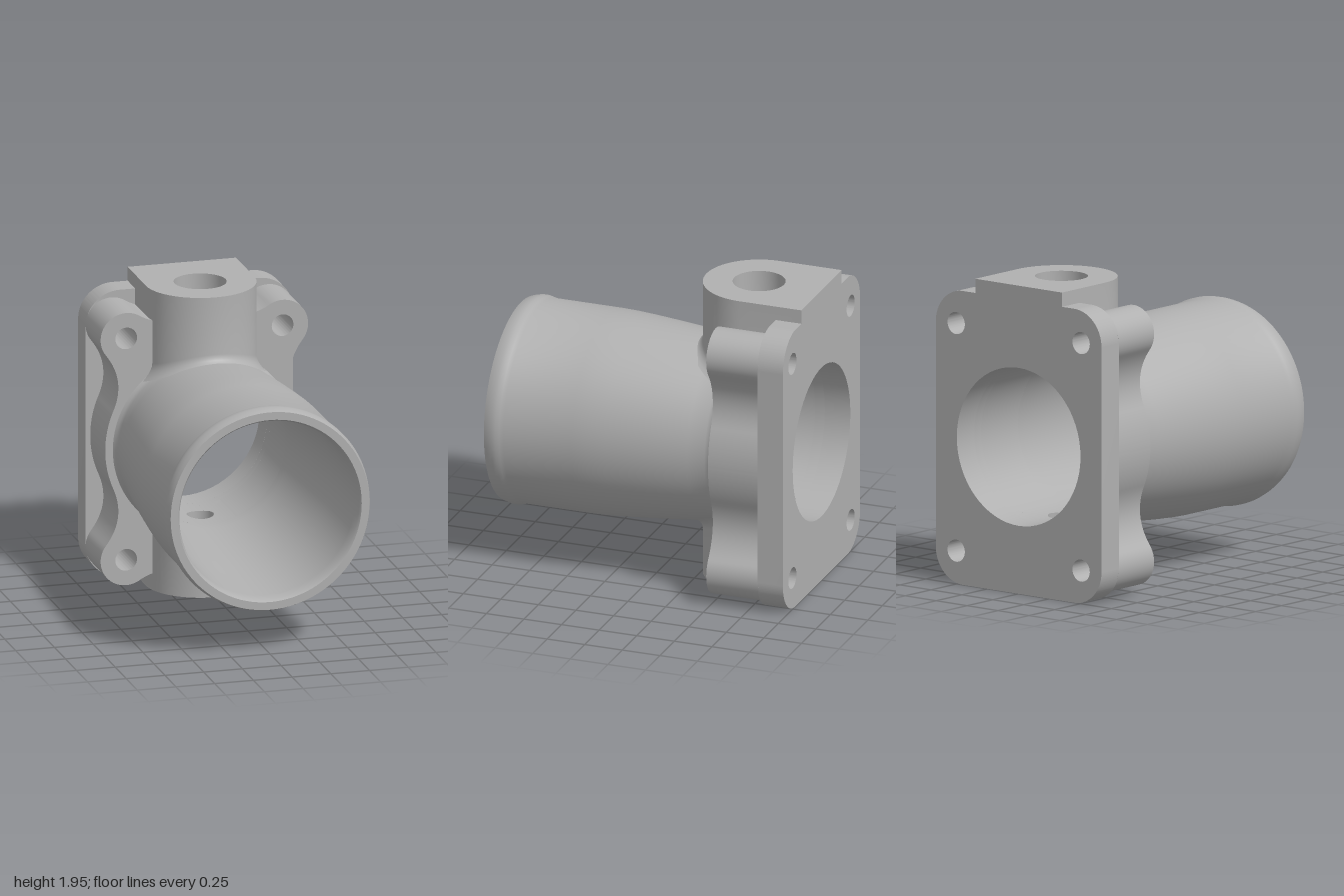
import * as THREE from 'three';
import { toCreasedNormals } from 'three/addons/utils/BufferGeometryUtils.js';

const metal = new THREE.MeshStandardMaterial({ color: 0xb0b0b0, side: THREE.DoubleSide });
metal.name = 'castGrey';

const AXIS_Y = 0.93;      // height of the main bore
const BORE = 0.5;         // bore radius at the flange
const PORT_Z = -0.585;    // centre of the vertical port
const PORT_R = 0.085;
const PATCH = 0.18;       // half size of the bore patch around each port

const mesh = (name, geo, crease = 0.6) => {
  const m = new THREE.Mesh(toCreasedNormals(geo, crease), metal);
  m.name = name;
  return m;
};
const v2 = (x, y) => new THREE.Vector2(x, y);

// Lathe about the z axis from [radius, z] pairs
const latheZ = (pts, start = 0, length = Math.PI * 2, seg = 96) =>
  new THREE.LatheGeometry(pts.map(p => v2(...p)), seg, start, length).rotateX(Math.PI / 2);

// Surface from rows of points
function loft(rows) {
  const n = rows[0].length, index = [];
  for (let i = 0; i < rows.length - 1; i++) {
    for (let j = 0; j < n - 1; j++) {
      const a = i * n + j;
      index.push(a, a + 1, a + n, a + 1, a + n + 1, a + n);
    }
  }
  const geo = new THREE.BufferGeometry();
  geo.setAttribute('position', new THREE.Float32BufferAttribute(rows.flat(2), 3));
  geo.setIndex(index);
  return geo;
}

const circle = (x, y, r) => new THREE.Path().absarc(x, y, r, 0, Math.PI * 2, true);

function extrude(shape, z0, z1) {
  const geo = new THREE.ExtrudeGeometry(shape, { depth: z1 - z0, bevelEnabled: false, curveSegments: 32 });
  return geo.translate(0, 0, z0);
}

// Rectangular back flange with rounded corners, bore and bolt holes
function flangePlate() {
  const w = 0.67, h = 0.93, r = 0.22, s = new THREE.Shape();
  s.absarc(w - r, h - r, r, 0, Math.PI / 2);
  s.absarc(r - w, h - r, r, Math.PI / 2, Math.PI);
  s.absarc(r - w, r - h, r, Math.PI, Math.PI * 1.5);
  s.absarc(w - r, r - h, r, Math.PI * 1.5, Math.PI * 2);
  s.holes.push(circle(0, 0, BORE));
  for (const x of [-0.505, 0.505]) for (const y of [-0.72, 0.72]) s.holes.push(circle(x, y, 0.07));
  return mesh('flangePlate', extrude(s, -1, -0.83));
}

// One side of the collar with its two bolt ears
function earCollar(side) {
  const p = new THREE.Path();
  p.absarc(0, 0, 0.64, 0, 0.403);
  p.quadraticCurveTo(0.505, 0.445, 0.632, 0.614);
  p.absarc(0.505, 0.72, 0.165, -0.644, 2.18);
  p.quadraticCurveTo(0.36, 0.825, 0.3, 0.815);
  const upper = p.getPoints(16);
  const lower = upper.slice(1).reverse().map(q => v2(q.x, -q.y));
  const inner = [];
  const a = Math.acos(0.3 / 0.53);
  for (let i = 0; i <= 32; i++) {
    const t = a - 2 * a * i / 32;
    inner.push(v2(0.53 * Math.cos(t), 0.53 * Math.sin(t)));
  }
  const s = new THREE.Shape([...lower, ...upper, ...inner].map(q => v2(q.x * side, q.y)));
  for (const y of [-0.72, 0.72]) s.holes.push(circle(0.505 * side, y, 0.07));
  return mesh(side > 0 ? 'leftEarCollar' : 'rightEarCollar', extrude(s, -0.835, -0.49));
}

// Tapered hose spout: outside, rounded lip, then inside
function spout() {
  return mesh('spout', latheZ([
    [0.6, -0.5], [0.578, -0.475], [0.572, -0.44], [0.583, -0.33], [0.598, -0.2], [0.617, 0],
    [0.634, 0.2], [0.642, 0.32], [0.645, 0.42], [0.645, 0.87], [0.652, 0.895], [0.658, 0.92],
    [0.658, 0.945], [0.65, 0.98], [0.642, 1], [0.592, 1], [0.58, 0.98],
    [0.575, 0.9], [0.56, 0.4], [BORE, -0.3], [BORE, PORT_Z + PATCH],
  ]), 0.7);
}

// Bore wall behind the spout, with round openings for the ports
function boreWall() {
  const g = new THREE.Group();
  g.name = 'boreWall';
  const z1 = PORT_Z + PATCH, z0 = PORT_Z - PATCH, a = PATCH / BORE;
  g.add(mesh('boreRear', latheZ([[BORE, z0], [BORE, -0.83]])));
  for (const start of [a, Math.PI + a]) {
    g.add(mesh('boreSide', latheZ([[BORE, z1], [BORE, z0]], start, Math.PI - 2 * a, 48)));
  }
  const rows = [];
  for (let i = 0; i <= 5; i++) {
    const row = [];
    for (let j = 0; j <= 48; j++) {
      const t = j / 48 * Math.PI * 2, c = Math.cos(t), s = Math.sin(t);
      const k = PATCH / Math.max(Math.abs(c), Math.abs(s)), f = i / 5;
      const arc = (BORE * Math.asin(PORT_R * c / BORE)) * (1 - f) + k * c * f;
      const z = PORT_R * s * (1 - f) + k * s * f;
      row.push([BORE * Math.sin(arc / BORE), BORE * Math.cos(arc / BORE), PORT_Z + z]);
    }
    rows.push(row);
  }
  for (const turn of [0, Math.PI]) {
    const patch = mesh('borePortPatch', loft(rows));
    patch.rotation.z = turn;
    g.add(patch);
  }
  return g;
}

// U-shaped port boss standing on the bore; steps are [radius, depth] counterbores
function portBoss(name, top, steps) {
  const g = new THREE.Group();
  g.name = name;
  const W = 0.35, outline = [];              // x, z, outward nx, nz
  for (let i = 0; i < 6; i++) outline.push([-W, -1 + (1 + PORT_Z) * i / 6, -1, 0]);
  for (let i = 0; i <= 32; i++) {
    const t = Math.PI * (1 - i / 32), c = Math.cos(t), s = Math.sin(t);
    outline.push([W * c, PORT_Z + W * s, c, s]);
  }
  for (let i = 5; i >= 0; i--) outline.push([W, -1 + (1 + PORT_Z) * i / 6, 1, 0]);
  for (let i = 0; i <= 16; i++) outline.push([W - 2 * W * i / 16, -1, 0, 0]);

  // Walls with a fillet at the foot
  const rows = [], F = 0.06;
  for (let i = 0; i <= 5; i++) {
    const t = i / 5 * Math.PI / 2, off = F * (1 - Math.sin(t)), rise = F * (1 - Math.cos(t));
    rows.push(outline.map(([x, z, nx, nz]) => {
      const px = x + nx * off;
      return [px, Math.sqrt(0.588 ** 2 - px * px) + rise, z + nz * off];
    }));
  }
  rows.push(outline.map(([x, z]) => [x, top, z]));
  g.add(mesh('bossWall', loft(rows)));

  // End face
  const face = new THREE.Shape(outline.map(([x, z]) => v2(x, -z)));
  face.holes.push(circle(0, -PORT_Z, steps[0][0]));
  g.add(mesh('bossFace', new THREE.ShapeGeometry(face, 24).rotateX(-Math.PI / 2).translate(0, top, 0)));

  // Stepped counterbore
  const pts = [];
  let y = top;
  for (const [r, depth] of steps) {
    pts.push(v2(r, y), v2(r, top - depth));
    y = top - depth;
  }
  pts.push(v2(PORT_R, y));
  g.add(mesh('counterbore', new THREE.LatheGeometry(pts, 48).translate(0, 0, PORT_Z)));

  // Port drilled down to the bore
  const foot = [], head = [];
  for (let j = 0; j <= 48; j++) {
    const t = j / 48 * Math.PI * 2, x = PORT_R * Math.cos(t), z = PORT_Z + PORT_R * Math.sin(t);
    foot.push([x, Math.sqrt(BORE * BORE - x * x), z]);
    head.push([x, y, z]);
  }
  g.add(mesh('portHole', loft([foot, head])));
  return g;
}

export function createModel() {
  const model = new THREE.Group();
  model.name = 'flangedHousing';
  const body = new THREE.Group();
  body.name = 'body';
  body.position.y = AXIS_Y;
  model.add(body);

  const lowerBoss = portBoss('lowerPortBoss', 0.93, [[0.23, 0.02], [0.2, 0.12]]);
  lowerBoss.rotation.z = Math.PI;
  body.add(
    flangePlate(), earCollar(1), earCollar(-1), spout(), boreWall(),
    portBoss('upperPortBoss', 1.02, [[0.165, 0.15]]), lowerBoss,
  );
  return model;
}
